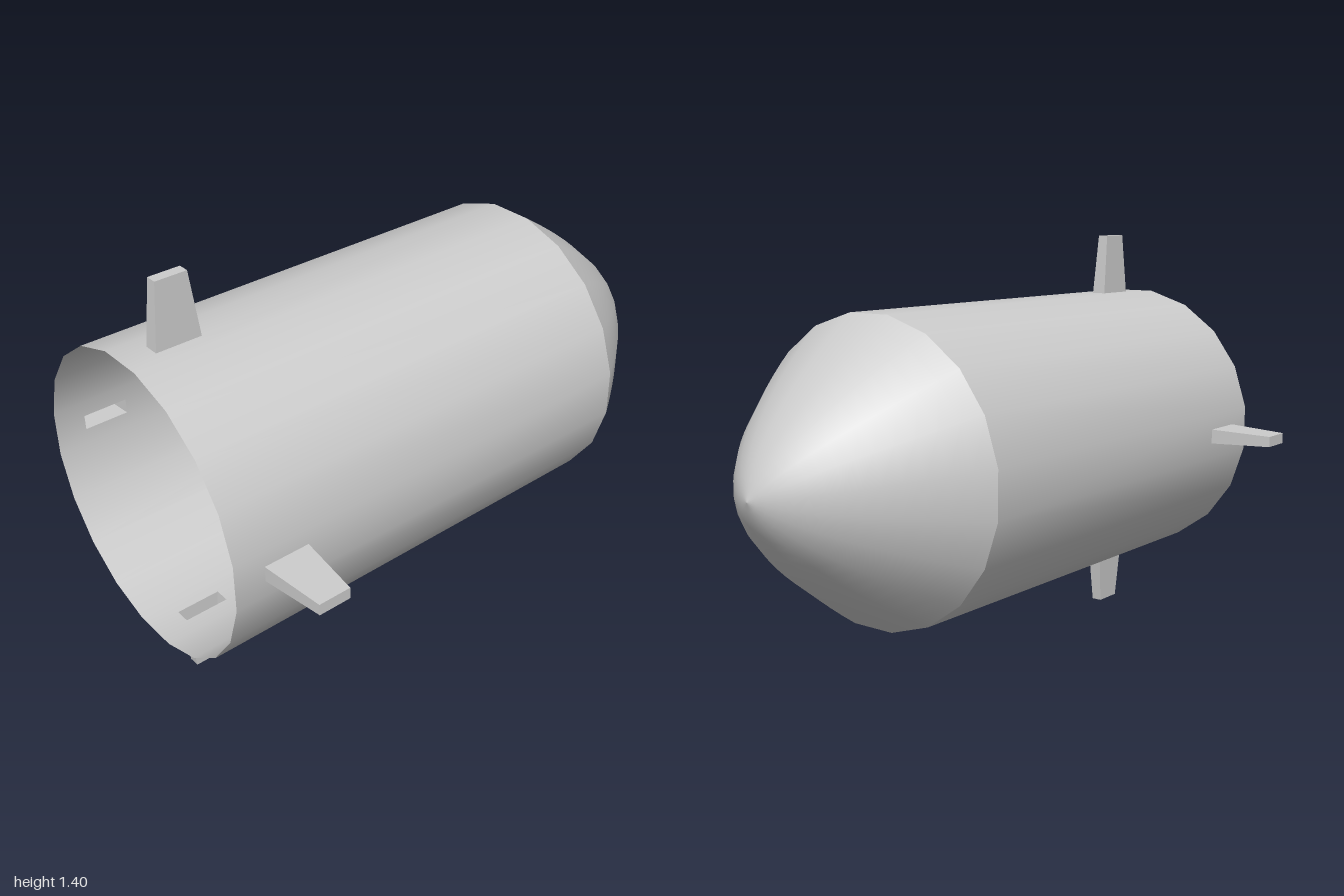
import * as THREE from 'three';
import { mergeGeometries } from 'three/addons/utils/BufferGeometryUtils.js';

const SIDES = 20;
const STEP = (Math.PI * 2) / SIDES;
const RADIUS = 0.495;
const FLAT = RADIUS * Math.cos(STEP / 2); // distance from axis to a flat side
const HALF = RADIUS * Math.sin(STEP / 2); // half width of a flat side
const FIN = { mid: -0.825, rootX: 0.025, rootY: 0.075, tipX: 0.018, tipY: 0.052, tip: 0.7 };

// Everything is modelled along +y (nose up), then laid down to point at -z.
const material = new THREE.MeshStandardMaterial({ color: 0xcccccc, side: THREE.DoubleSide });

function rectangle(PathType, x, y0, y1) {
  return new PathType([[-x, y0], [x, y0], [x, y1], [-x, y1]].map(p => new THREE.Vector2(...p)));
}

// One flat side of the tube with an opening where the fin sits
function slottedSide() {
  const shape = rectangle(THREE.Shape, HALF, -1, 0.5);
  shape.holes.push(rectangle(THREE.Path, FIN.rootX, FIN.mid - FIN.rootY, FIN.mid + FIN.rootY));
  const geo = new THREE.ShapeGeometry(shape).translate(0, 0, FLAT);
  const { position, normal } = geo.attributes;
  const n = new THREE.Vector3();
  for (let i = 0; i < position.count; i++) {
    n.set(position.getX(i), 0, FLAT).normalize();
    normal.setXYZ(i, n.x, n.y, n.z);
  }
  return geo;
}

// Open tube: four slotted sides joined by four plain curved runs
function tubeGeometry() {
  const parts = [];
  for (let k = 0; k < 4; k++) {
    const turn = (k * Math.PI) / 2;
    parts.push(slottedSide().rotateY(turn));
    parts.push(new THREE.CylinderGeometry(RADIUS, RADIUS, 1.5, 4, 1, true, turn + STEP / 2, STEP * 4)
      .translate(0, -0.25, 0));
  }
  return mergeGeometries(parts);
}

// Tapered hollow fin, open at its root
function finGeometry() {
  const geo = new THREE.BoxGeometry(2, 2, 2);
  const p = geo.attributes.position;
  for (let i = 0; i < p.count; i++) {
    const outer = p.getZ(i) > 0;
    p.setXYZ(i,
      p.getX(i) * (outer ? FIN.tipX : FIN.rootX),
      FIN.mid + p.getY(i) * (outer ? FIN.tipY : FIN.rootY),
      outer ? FIN.tip : FLAT);
  }
  geo.setIndex(Array.from(geo.index.array).slice(0, 30)); // drop the root face
  geo.computeVertexNormals();
  return geo;
}

export function createModel() {
  const model = new THREE.Group();
  model.name = 'rocket';
  const hull = new THREE.Group();
  hull.name = 'hull';
  hull.rotation.x = -Math.PI / 2;
  hull.position.y = 0.7;
  model.add(hull);

  const add = (name, geometry) => {
    const mesh = new THREE.Mesh(geometry, material);
    mesh.name = name;
    hull.add(mesh);
    return mesh;
  };

  add('bodyTube', tubeGeometry());

  // Curved nose cone with a blunt tip
  const profile = new THREE.QuadraticBezierCurve(
    new THREE.Vector2(RADIUS, 0.5), new THREE.Vector2(0.2, 0.95), new THREE.Vector2(0, 1));
  add('noseCone', new THREE.LatheGeometry(profile.getPoints(14), SIDES, STEP / 2));

  // Four fins around the open end
  ['bottomFin', 'leftFin', 'topFin', 'rightFin'].forEach((name, k) => {
    add(name, finGeometry()).rotation.y = ((k + 2) * Math.PI) / 2 + (k % 2 ? Math.PI : 0);
  });

  return model;
}
